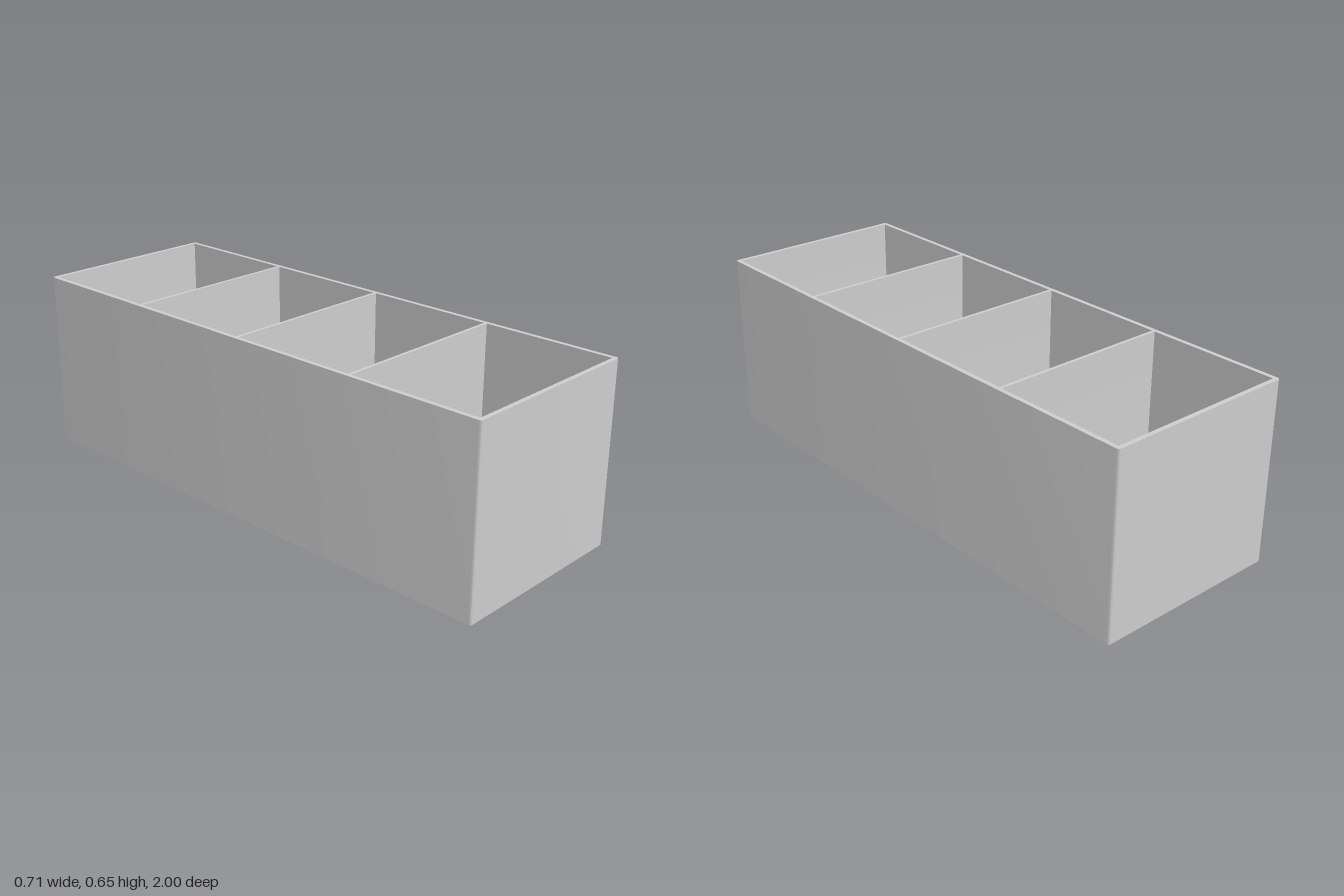
import * as THREE from 'three';
import { toCreasedNormals } from 'three/addons/utils/BufferGeometryUtils.js';

const W = 0.706, H = 0.653, L = 2;          // outer size
const WALL = 0.016, DIVIDER = 0.012, FLOOR = 0.016;
const CORNER = 0.01, COVE = 0.05, CELLS = 4;

// Rounded outline in (x, z), counter-clockwise in the shape plane
function outline() {
  const x = W / 2 - CORNER, z = L / 2 - CORNER, s = new THREE.Shape();
  [[x, z], [-x, z], [-x, -z], [x, -z]].forEach(([cx, cz], i) =>
    s.absarc(cx, cz, CORNER, i * Math.PI / 2, (i + 1) * Math.PI / 2, false));
  return s;
}

// Joins closed loops of [x, y, z] points, optionally filling the last one
function loft(loops, fill = false) {
  const n = loops[0].length, index = [];
  for (let j = 0; j < loops.length - 1; j++) {
    for (let i = 0; i < n; i++) {
      const a = j * n + i, b = j * n + (i + 1) % n;
      index.push(a, b, a + n, b, b + n, a + n);
    }
  }
  if (fill) {
    const s = (loops.length - 1) * n;
    for (let i = 1; i < n - 1; i++) index.push(s, s + i, s + i + 1);
  }
  const g = new THREE.BufferGeometry();
  g.setAttribute('position', new THREE.Float32BufferAttribute(loops.flat(2), 3));
  g.setIndex(index);
  return toCreasedNormals(g, 0.5);
}

export function createModel() {
  const grey = new THREE.MeshStandardMaterial({ color: 0xcccccc });
  grey.name = 'grey plastic';
  const group = new THREE.Group();
  group.name = 'dividedTray';
  const add = (name, geometry) => {
    const mesh = new THREE.Mesh(geometry, grey);
    mesh.name = name;
    group.add(mesh);
    return mesh;
  };

  // Outer walls with lightly rounded vertical corners
  const pts = outline().getPoints(4).slice(0, -1).reverse();
  add('outerWalls', loft([0, H].map(y => pts.map(p => [p.x, y, p.y]))));

  // Underside
  add('underside', new THREE.ShapeGeometry(outline(), 4).rotateX(Math.PI / 2));

  // Compartments: straight walls, coved foot, flat floor
  const rim = outline();
  const hx = W / 2 - WALL;
  const cell = (L - 2 * WALL - (CELLS - 1) * DIVIDER) / CELLS;
  const profile = [[0, H]];
  for (let k = 0; k <= 8; k++) {
    const a = k / 8 * Math.PI / 2;
    profile.push([COVE * (1 - Math.cos(a)), FLOOR + COVE * (1 - Math.sin(a))]);
  }
  for (let c = 0; c < CELLS; c++) {
    const z0 = -L / 2 + WALL + c * (cell + DIVIDER), z1 = z0 + cell;
    const loops = profile.map(([d, y]) => [
      [-hx + d, y, z0 + d], [-hx + d, y, z1 - d], [hx - d, y, z1 - d], [hx - d, y, z0 + d]]);
    add('compartment' + (c + 1), loft(loops, true));
    // Matching opening in the rim, mirrored because the rim is turned face up
    rim.holes.push(new THREE.Path([[-hx, -z0], [hx, -z0], [hx, -z1], [-hx, -z1]]
      .map(([x, y]) => new THREE.Vector2(x, y))));
  }

  // Top rim and divider edges
  add('rim', new THREE.ShapeGeometry(rim, 4).rotateX(-Math.PI / 2).translate(0, H, 0));
  return group;
}
